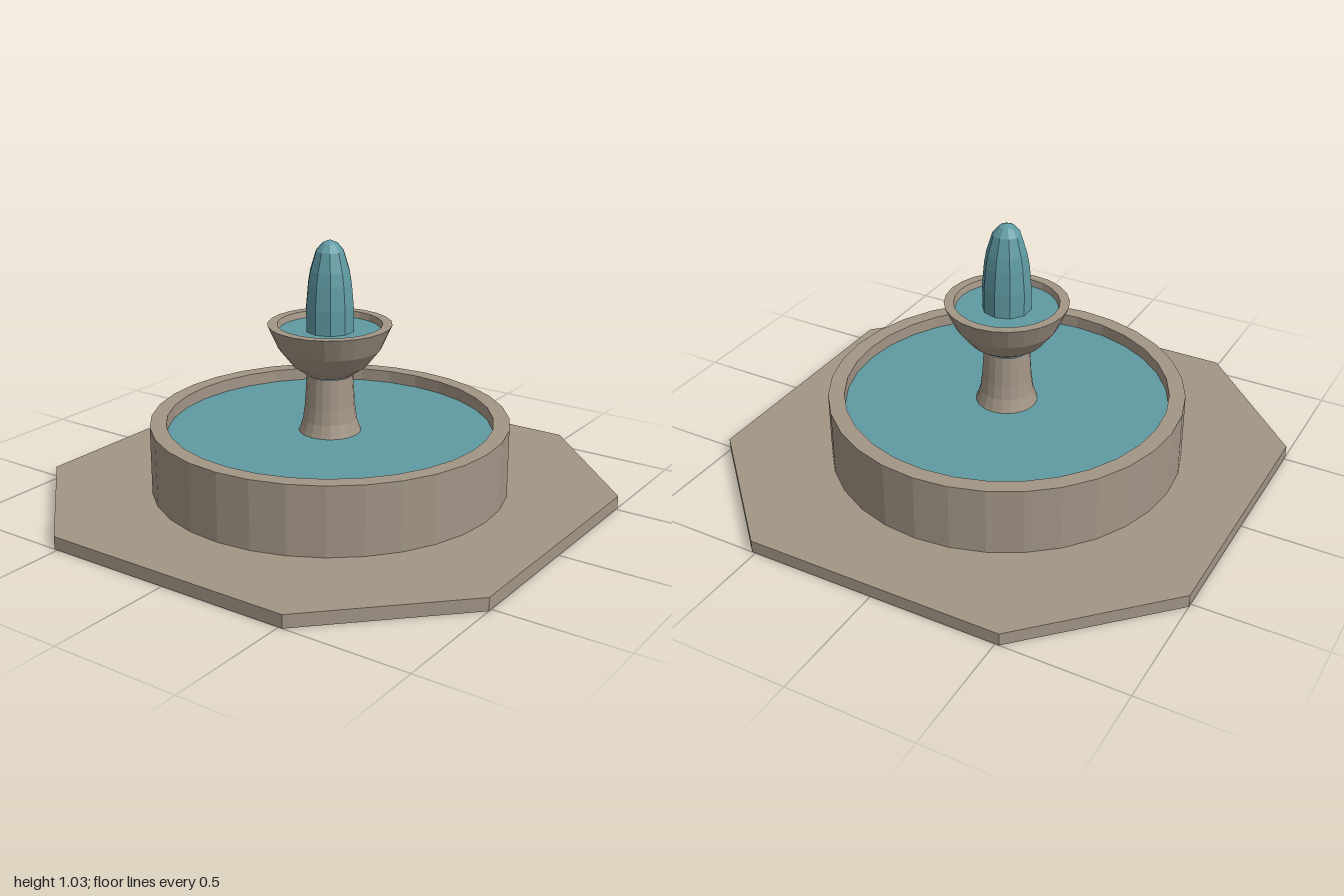
import * as THREE from 'three';

export function createModel() {
  const stone = new THREE.MeshStandardMaterial({ color: 0xa29585, flatShading: true });
  stone.name = 'stone';
  const water = new THREE.MeshStandardMaterial({ color: 0x5f9aa2, flatShading: true });
  water.name = 'water';

  const fountain = new THREE.Group();
  fountain.name = 'fountain';

  const add = (name, geometry, material, y = 0) => {
    const mesh = new THREE.Mesh(geometry, material);
    mesh.name = name;
    mesh.position.y = y;
    fountain.add(mesh);
    return mesh;
  };
  // Profiles run from bottom to top on the outside so faces point outwards.
  const lathe = (points, segments) =>
    new THREE.LatheGeometry(points.map(([r, y]) => new THREE.Vector2(r, y)), segments);
  const disc = (radius, segments) =>
    new THREE.CircleGeometry(radius, segments).rotateX(-Math.PI / 2);

  // Octagonal paving slab
  const c = 0.515;
  const octagon = new THREE.Shape(
    [[c, -1], [1, -c], [1, c], [c, 1], [-c, 1], [-1, c], [-1, -c], [-c, -1]]
      .map(([x, y]) => new THREE.Vector2(x, y)));
  const slab = new THREE.ExtrudeGeometry(octagon, { depth: 0.05, bevelEnabled: false });
  add('pavingSlab', slab.rotateX(-Math.PI / 2), stone);

  // Pool wall, with its inner face running below the water
  add('poolWall', lathe([[0.7, 0.05], [0.7, 0.32], [0.637, 0.32], [0.637, 0.2]], 32), stone);
  add('poolWater', disc(0.637, 32), water, 0.27);

  // Flared column
  add('column', lathe([[0.125, 0.26], [0.116, 0.285], [0.105, 0.32], [0.097, 0.38], [0.09, 0.5]], 20), stone);

  // Upper bowl
  add('bowl', lathe([
    [0, 0.49], [0.085, 0.5], [0.145, 0.54], [0.2, 0.61], [0.24, 0.7],
    [0.203, 0.7], [0.195, 0.66],
  ], 24), stone);
  add('bowlWater', disc(0.197, 24), water, 0.675);

  // Faceted water jet
  add('waterJet', lathe([
    [0.095, 0.67], [0.095, 0.77], [0.087, 0.86], [0.078, 0.91],
    [0.055, 0.985], [0.03, 1.015], [0, 1.028],
  ], 10), water);

  return fountain;
}
